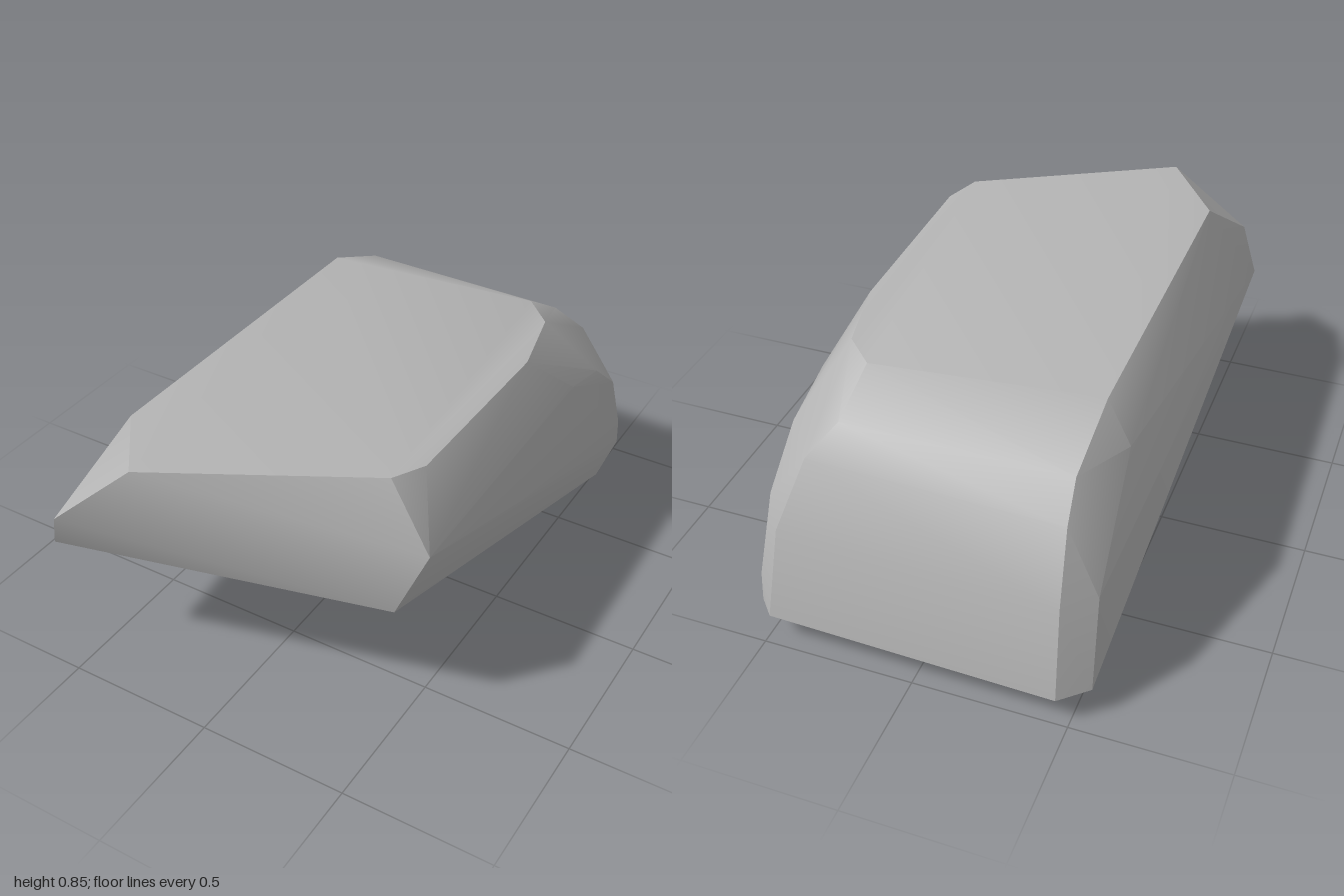
import * as THREE from 'three';
import { toCreasedNormals } from 'three/addons/utils/BufferGeometryUtils.js';
import { ConvexGeometry } from 'three/addons/geometries/ConvexGeometry.js';

// Chipped corners of the boulder, grouped by region: [x, y, z]
const regions = {
  front: [
    [-0.5, 0.62, 1.0], [-0.565, 0.47, 0.95], [-0.24, 0.855, 0.935],
    [0.48, 0.45, 0.67], [0.56, 0.65, 0.61], [0.41, 0.853, 0.575],
  ],
  top: [
    [-0.43, 0.835, 0.69], [-0.43, 0.825, -0.48], [0.3, 0.825, -0.56],
    [0.4, 0.826, -0.46], [0.46, 0.83, -0.2], [0.46, 0.842, 0.46],
  ],
  leftFlank: [[0.545, 0.65, -0.4], [0.54, 0.59, -0.62], [0.54, 0.44, -0.8], [0.54, 0.2, -0.91]],
  rightFlank: [[-0.52, 0.71, -0.53], [-0.54, 0.41, -0.86]],
  back: [
    [-0.42, 0.72, -0.73], [0.32, 0.72, -0.73],
    [-0.43, 0.62, -0.83], [0.4, 0.62, -0.81],
    [-0.45, 0.41, -0.945], [0.46, 0.41, -0.92],
    [-0.46, 0.1, -1.0], [0.485, 0.1, -0.98],
  ],
  base: [[-0.55, 0.11, -0.93], [0.435, 0.003, -0.74], [0.52, 0.02, -0.79], [0.54, 0.1, -0.92]],
};

export function createModel() {
  const group = new THREE.Group();
  group.name = 'boulder';
  const stone = new THREE.MeshStandardMaterial({ color: 0xb4b4b4 });
  stone.name = 'grey stone';

  // Solid rock: hull of the corners, soft over the bevels and sharp at the big breaks
  const points = Object.values(regions).flat().map((p) => new THREE.Vector3(...p));
  const rock = new THREE.Mesh(toCreasedNormals(new ConvexGeometry(points), 0.6), stone);
  rock.name = 'rock';
  group.add(rock);
  return group;
}
